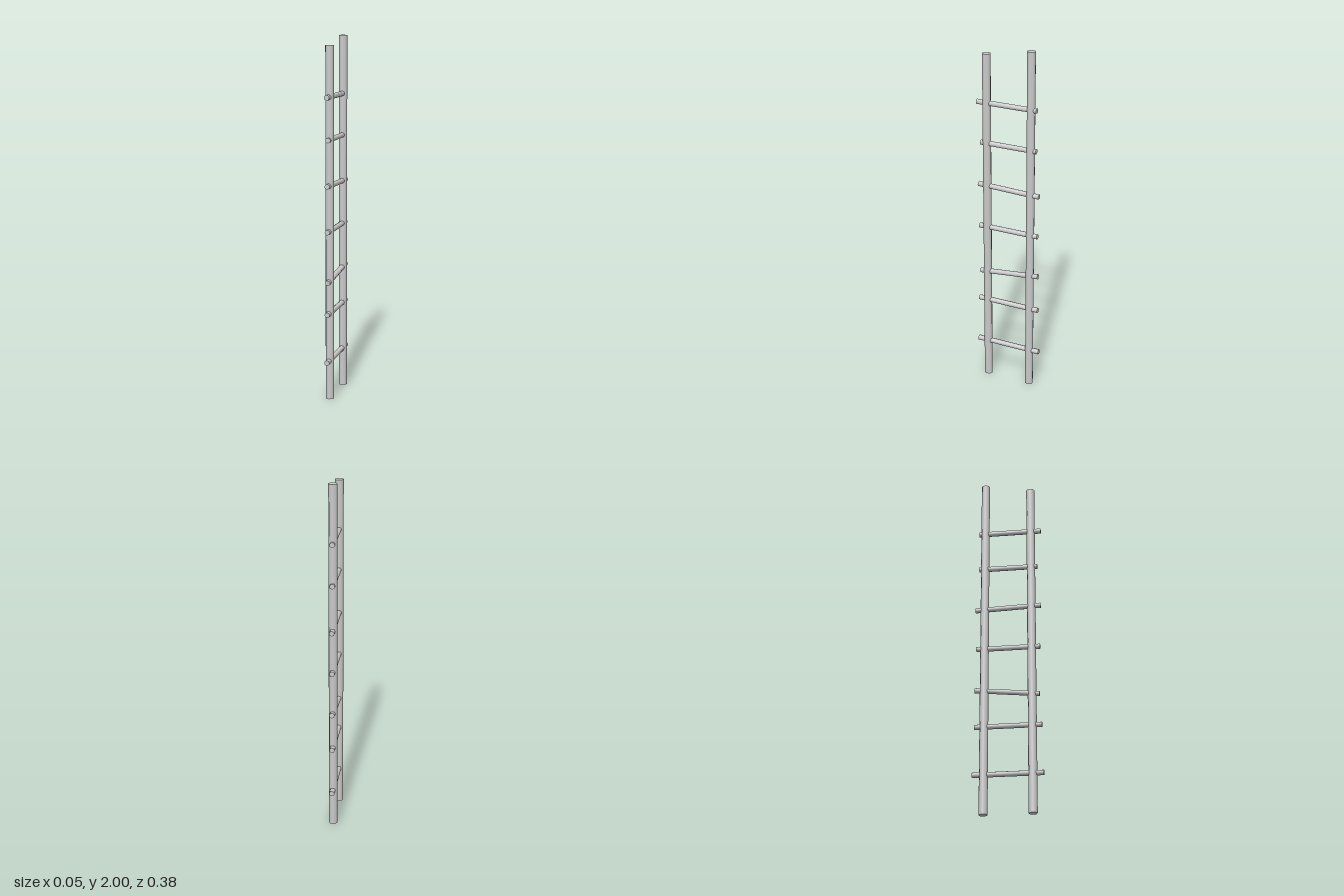
import * as THREE from 'three';

const material = new THREE.MeshStandardMaterial({ color: 0xcccccc });

// Eight-sided rod between two points
function rod(name, from, to, radius) {
  const axis = to.clone().sub(from);
  const mesh = new THREE.Mesh(new THREE.CylinderGeometry(radius, radius, axis.length(), 8), material);
  mesh.name = name;
  mesh.position.copy(from).add(to).multiplyScalar(0.5);
  mesh.quaternion.setFromUnitVectors(new THREE.Vector3(0, 1, 0), axis.normalize());
  return mesh;
}

export function createModel() {
  const ladder = new THREE.Group();
  ladder.name = 'ladder';
  const point = (y, z) => new THREE.Vector3(0, y, z);

  // Upright poles, the front one slightly shorter
  ladder.add(rod('frontPole', point(0, 0.131), point(1.955, 0.131), 0.024));
  ladder.add(rod('backPole', point(0, -0.132), point(2, -0.132), 0.024));

  // Uneven rungs: front y, front z, back y, back z
  const rungs = [
    [0.22, 0.191, 0.22, -0.193],
    [0.49, 0.184, 0.49, -0.184],
    [0.668, 0.173, 0.704, -0.183],
    [0.95, 0.178, 0.95, -0.177],
    [1.202, 0.183, 1.19, -0.184],
    [1.45, 0.167, 1.45, -0.165],
    [1.68, 0.189, 1.68, -0.166],
  ];
  rungs.forEach(([y0, z0, y1, z1], i) => {
    ladder.add(rod(`rung${i + 1}`, point(y0, z0), point(y1, z1), 0.015));
  });
  return ladder;
}
